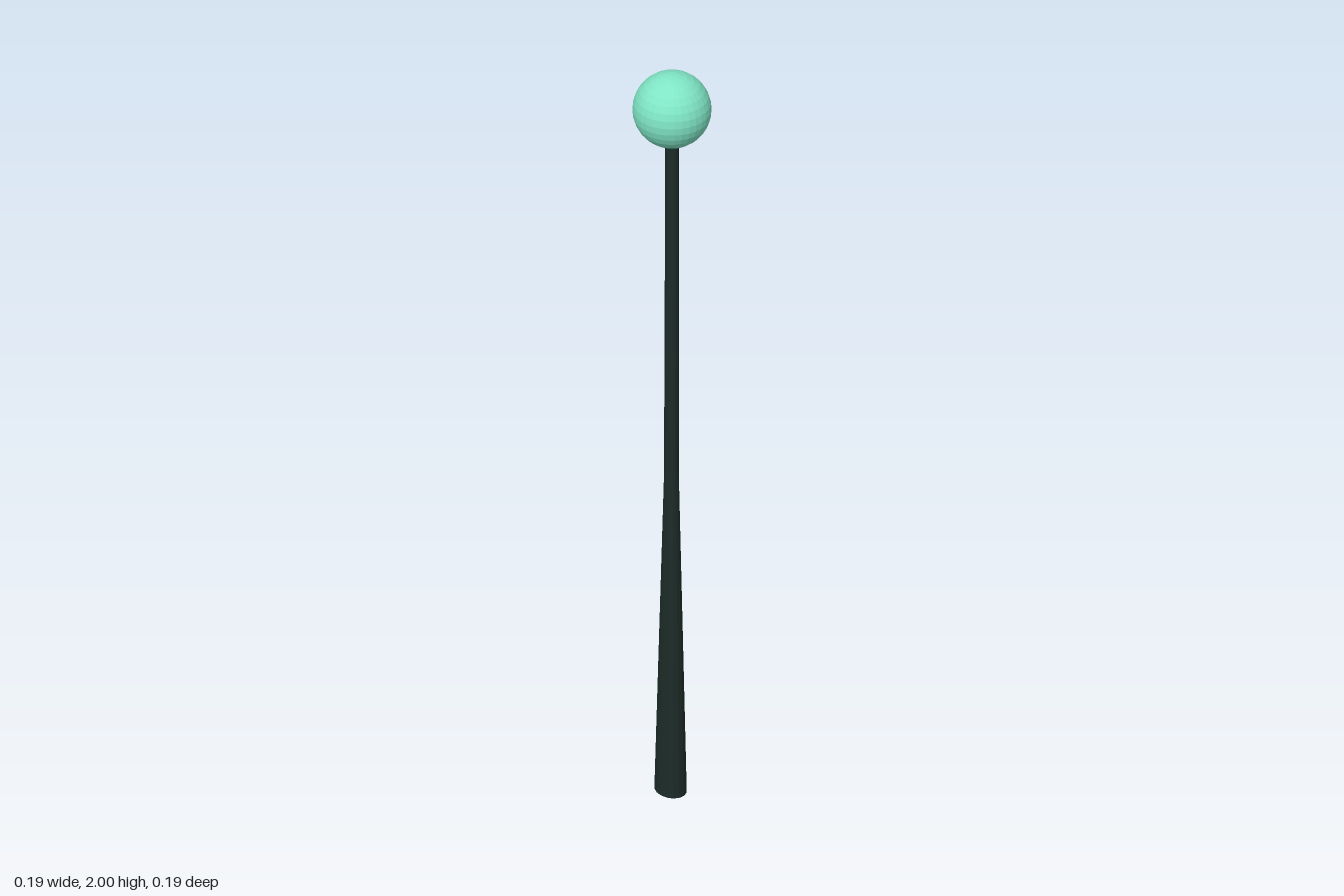
import * as THREE from 'three';

const mat = (color) => new THREE.MeshStandardMaterial({ color, flatShading: true });

export function createModel() {
  const group = new THREE.Group();

  // Tapered pole: closed lathe profile, oval in section (deeper than wide)
  const profile = [[0, 0], [0.037, 0], [0.017, 0.88], [0.0165, 1.45], [0.016, 1.84], [0, 1.84]];
  const poleGeo = new THREE.LatheGeometry(profile.map(([r, y]) => new THREE.Vector2(r, y)), 16);
  const pos = poleGeo.attributes.position;
  for (let i = 0; i < pos.count; i++) {
    // the base sits slightly further back than the top
    const lean = -0.008 * Math.max(0, 1 - pos.getY(i) / 1.45);
    pos.setZ(i, pos.getZ(i) * 1.29 + lean);
  }
  poleGeo.computeVertexNormals();
  const pole = new THREE.Mesh(poleGeo, mat(0x1c2b27));
  pole.name = 'pole';

  // Faceted ball on top
  const ball = new THREE.Mesh(new THREE.SphereGeometry(0.095, 32, 16), mat(0x7fe5c5));
  ball.name = 'ball';
  ball.position.y = 1.905;

  group.add(pole, ball);
  return group;
}
